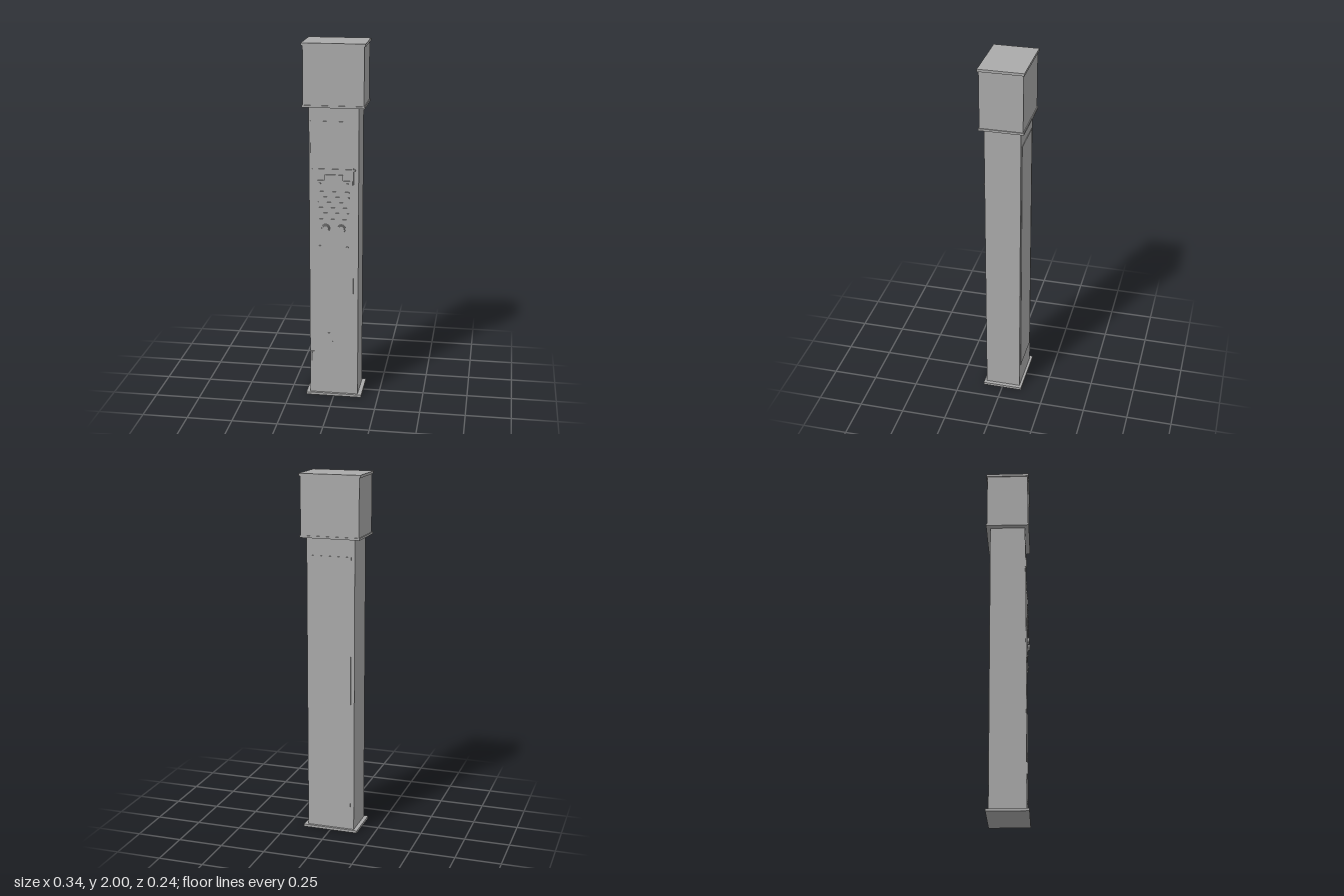
import * as THREE from 'three';

export function createModel() {
  const model = new THREE.Group();
  const grey = new THREE.MeshStandardMaterial({ color: 0xaaaaaa });
  grey.name = 'plain grey';

  const add = (name, geometry, x, y, z, parent = model) => {
    const mesh = new THREE.Mesh(geometry, grey);
    mesh.name = name;
    mesh.position.set(x, y, z);
    parent.add(mesh);
    return mesh;
  };
  // Box given by its centre x, vertical extent and depth extent
  const box = (name, x, w, y0, y1, z0, z1, parent) =>
    add(name, new THREE.BoxGeometry(w, y1 - y0, z1 - z0), x, (y0 + y1) / 2, (z0 + z1) / 2, parent);
  // Disc or stud facing forwards
  const stud = (name, x, y, z0, z1, r0, r1, parent) =>
    add(name, new THREE.CylinderGeometry(r1, r0, z1 - z0, 24).rotateX(Math.PI / 2), x, y, (z0 + z1) / 2, parent);

  const front = 0.098;

  // Body, foot and head with its two flanges
  box('basePlate', 0, 0.314, 0, 0.014, -0.112, 0.112);
  box('column', 0, 0.27, 0.014, 1.66, -front, front);
  box('head', 0, 0.326, 1.672, 1.986, -0.116, 0.116);
  box('headLowerFlange', 0, 0.336, 1.66, 1.672, -0.121, 0.121);
  box('headTopFlange', 0, 0.34, 1.986, 2, -0.122, 0.122);

  // Shallow access panels on both faces
  box('frontDoor', -0.01, 0.236, 0.07, 1.585, front, front + 0.003);
  box('backPanel', 0, 0.23, 0.15, 1.565, -front - 0.003, -front);

  // Door hinges
  for (const y of [0.235, 1.44]) {
    const hinge = new THREE.Group();
    hinge.name = 'hinge';
    model.add(hinge);
    box('hingeLeaf', -0.122, 0.022, y - 0.03, y + 0.03, front, front + 0.006, hinge);
    add('hingePin', new THREE.CylinderGeometry(0.004, 0.004, 0.056, 12), -0.125, y, front + 0.005, hinge);
  }

  // Rail above the control panel
  box('rail', 0, 0.236, 1.316, 1.326, front, front + 0.008);
  for (const x of [-0.115, 0.115]) stud('railRivet', x, 1.321, front, front + 0.01, 0.004, 0.004);

  // Control panel with its central top tab
  const panel = new THREE.Group();
  panel.name = 'controlPanel';
  model.add(panel);
  const face = front + 0.008;
  box('panelPlate', 0, 0.206, 0.87, 1.262, front, face, panel);
  box('panelTab', 0, 0.1, 1.215, 1.295, front, face + 0.003, panel);
  box('panelDivider', 0, 0.198, 1.04, 1.047, face, face + 0.003, panel);
  for (let i = 0; i < 5; i++) {
    const y = 1.075 + i * 0.03;
    box('louvre', 0, 0.17, y, y + 0.007, face, face + 0.003, panel);
  }
  for (const x of [-0.075, 0.075]) {
    for (const y of [0.89, 1.245]) stud('screw', x, y, face, face + 0.004, 0.006, 0.005, panel);
  }

  // Round sockets with a raised rim
  for (const x of [-0.043, 0.043]) {
    stud('socketCollar', x, 0.995, face, face + 0.004, 0.023, 0.022, panel);
    stud('socketCap', x, 0.995, face + 0.004, face + 0.011, 0.017, 0.016, panel);
  }

  // Small triangular marker and stud low on the door
  const triangle = new THREE.Shape();
  triangle.moveTo(-0.025, 0.01);
  triangle.lineTo(0, -0.022);
  triangle.lineTo(0.025, 0.01);
  const plate = new THREE.ExtrudeGeometry(triangle, { depth: 0.002, bevelEnabled: false });
  add('doorMarker', plate, -0.01, 0.37, front + 0.003);
  stud('doorStud', -0.01, 0.33, front + 0.003, front + 0.006, 0.004, 0.004);

  return model;
}
